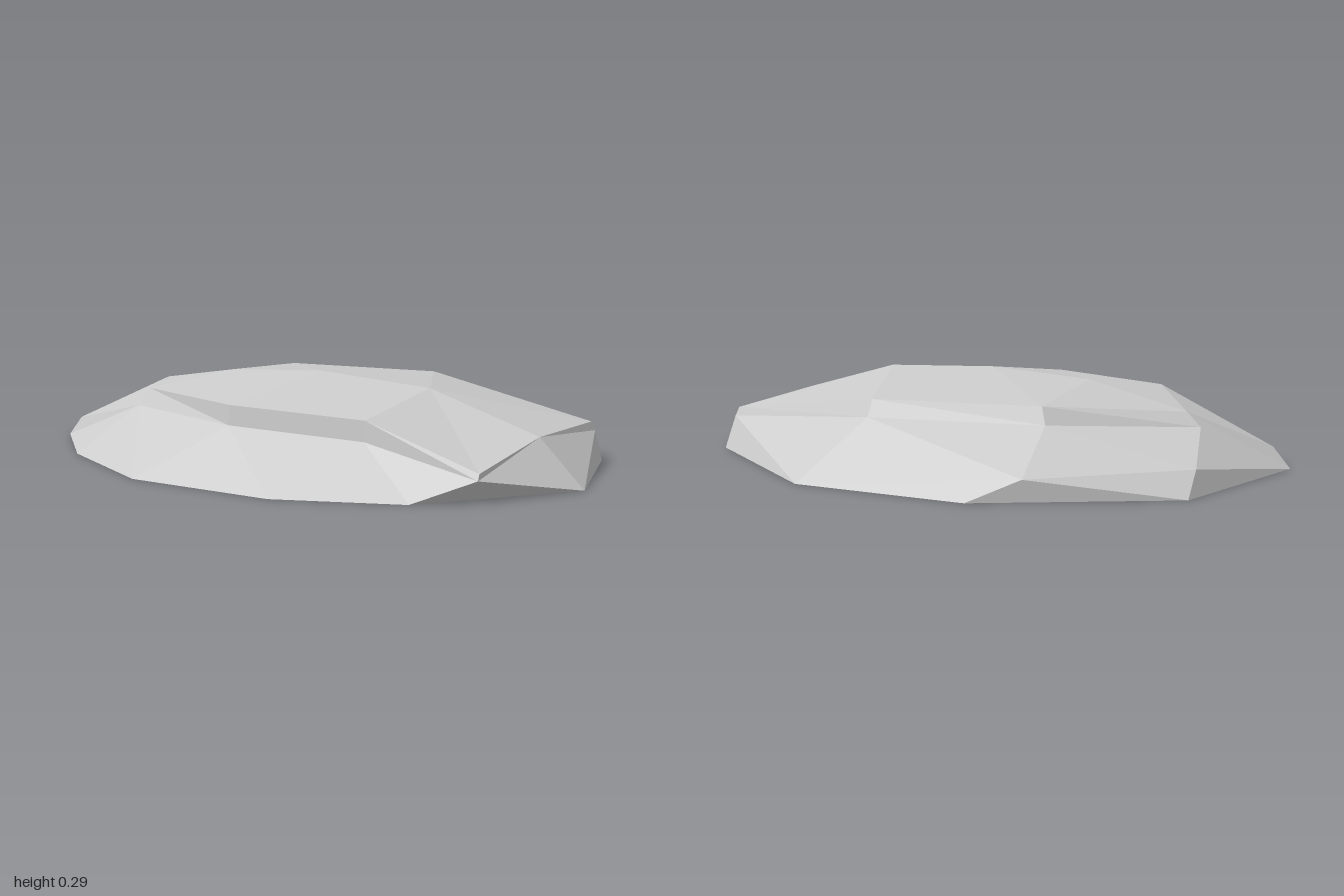
import * as THREE from 'three';

// Low, flat-bottomed faceted rock built from rings that run from the ground to the crest.
export function createModel() {
  const stone = new THREE.MeshStandardMaterial({ color: 0xcccccc });
  stone.name = 'stoneGrey';

  // Footprint on the ground
  const base = [
    [-1, 0, 0.2], [-0.71, 0, 0.48], [-0.28, 0, 0.7], [0.24, 0, 0.71], [0.63, 0, 0.56],
    [1, 0, 0.12], [0.89, 0, -0.36], [0.34, 0, -0.71], [-0.25, 0, -0.69], [-0.83, 0, -0.36],
  ];
  // Small steep chip on one rear corner
  const skirt = base.slice();
  skirt[8] = [-0.4, 0.07, -0.61];
  skirt[9] = [-0.83, 0.08, -0.29];

  // Foot and lip of the narrow step around the rock
  const east = [0.86, 0.155, 0.14];
  const stepFoot = [
    base[0], [-0.53, 0.17, 0.36], [-0.04, 0.165, 0.51], [0.43, 0.15, 0.47], [0.8, 0.07, 0.46],
    east, [0.88, 0.11, -0.31], [0.2, 0.19, -0.5], [-0.38, 0.195, -0.4], [-0.77, 0.165, -0.06],
  ];
  const west = [-0.72, 0.21, -0.05];
  const stepLip = [
    [-0.94, 0.07, 0.2], [-0.5, 0.23, 0.335], [-0.04, 0.23, 0.505], [0.43, 0.215, 0.465], [0.8, 0.09, 0.45],
    east, [0.87, 0.14, -0.3], [0.2, 0.245, -0.47], [-0.36, 0.25, -0.38], west,
  ];
  // Crest line, matched to the lip corners
  const a = [-0.34, 0.275, 0.055], b = [0.03, 0.295, 0.06], c = [0.46, 0.27, 0.09];
  const crest = [west, a, b, c, east, east, c, b, a, west];

  const positions = [];
  const tri = (p, q, r) => {
    if (p !== q && q !== r && r !== p) positions.push(...p, ...q, ...r);
  };
  // Join two rings, splitting each quad along one diagonal
  const strip = (outer, inner, flipped = []) => {
    outer.forEach((p, i) => {
      const j = (i + 1) % outer.length;
      if (flipped.includes(i)) {
        tri(p, outer[j], inner[j]);
        tri(p, inner[j], inner[i]);
      } else {
        tri(p, outer[j], inner[i]);
        tri(outer[j], inner[j], inner[i]);
      }
    });
  };
  strip(base, skirt);
  strip(skirt, stepFoot, [5]);
  strip(stepFoot, stepLip);
  strip(stepLip, crest);

  // Flat underside
  for (let i = 1; i < base.length - 1; i++) tri(base[0], base[i + 1], base[i]);

  const geometry = new THREE.BufferGeometry();
  geometry.setAttribute('position', new THREE.Float32BufferAttribute(positions, 3));
  geometry.computeVertexNormals();

  const rock = new THREE.Mesh(geometry, stone);
  rock.name = 'rock';
  const group = new THREE.Group();
  group.name = 'flatRock';
  group.add(rock);
  return group;
}
